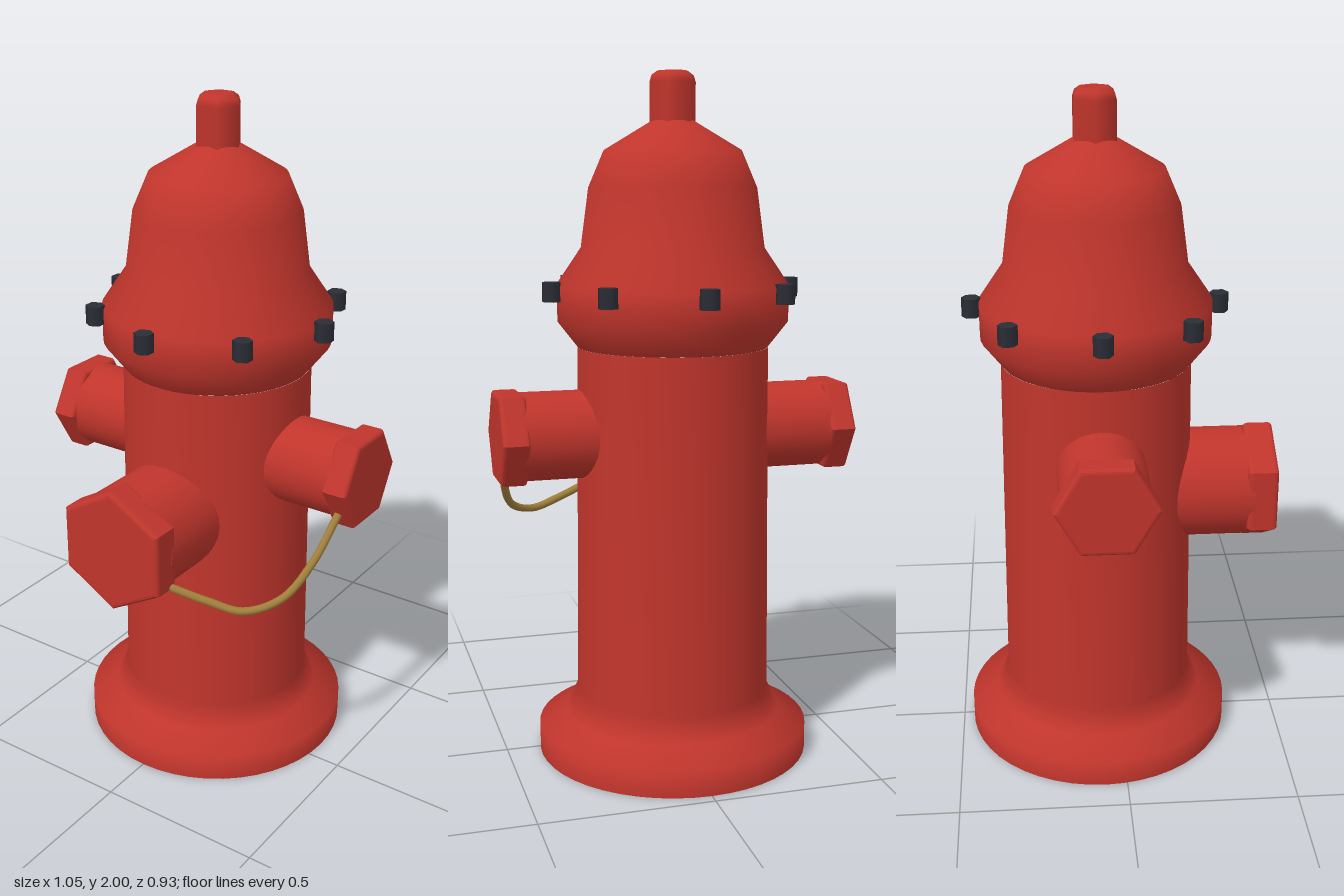
import * as THREE from 'three';

const CZ = -0.065; // body axis in z

export function createModel() {
  const red = new THREE.MeshStandardMaterial({ color: 0xc0352c });
  red.name = 'red paint';
  const dark = new THREE.MeshStandardMaterial({ color: 0x2b2d36 });
  dark.name = 'dark bolt steel';
  const brass = new THREE.MeshStandardMaterial({ color: 0xa07f3c });
  brass.name = 'brass chain';

  const model = new THREE.Group();
  model.name = 'fireHydrant';

  const add = (parent, name, geometry, material) => {
    const mesh = new THREE.Mesh(geometry, material);
    mesh.name = name;
    parent.add(mesh);
    return mesh;
  };
  const lathe = (points, sides) =>
    new THREE.LatheGeometry(points.map(([r, y]) => new THREE.Vector2(r, y)), sides);

  // Barrel with flared foot
  const barrel = add(model, 'barrel', lathe([
    [0.403, 0], [0.403, 0.08], [0.32, 0.12], [0.287, 0.19], [0.278, 1.22],
  ], 48), red);
  barrel.position.z = CZ;

  const bottom = add(model, 'bottom', new THREE.CircleGeometry(0.403, 48), red);
  bottom.rotation.x = Math.PI / 2;
  bottom.position.z = CZ;

  // Flange and domed bonnet
  const bonnet = add(model, 'bonnet', lathe([
    [0.277, 1.22], [0.335, 1.295], [0.336, 1.4], [0.265, 1.505],
    [0.242, 1.675], [0.197, 1.78], [0.06, 1.862], [0, 1.865],
  ], 48), red);
  bonnet.position.z = CZ;

  // Six-sided operating nut
  const nut = add(model, 'topNut', lathe([
    [0.068, 1.82], [0.068, 1.97], [0.062, 1.988], [0.045, 2], [0.045, 2], [0, 2],
  ], 6), red);
  nut.rotation.y = Math.PI / 6;
  nut.position.z = CZ;

  // Ring of eight flange bolts
  const boltGeometry = new THREE.CylinderGeometry(0.028, 0.028, 0.056, 6);
  for (let i = 0; i < 8; i++) {
    const a = (i * Math.PI) / 4;
    const bolt = add(model, 'flangeBolt', boltGeometry, dark);
    bolt.position.set(0.357 * Math.sin(a), 1.384, CZ + 0.357 * Math.cos(a));
  }

  // Outlet: round pipe with a bevelled hexagonal cap, pointing along +z before turning
  const outlet = (name, o) => {
    const group = new THREE.Group();
    group.name = name;
    const start = 0.15;
    const pipe = new THREE.CylinderGeometry(o.pipeRadius, o.pipeRadius, o.pipeEnd - start, 32);
    pipe.rotateX(Math.PI / 2).translate(0, 0, (o.pipeEnd + start) / 2);
    add(group, 'outletPipe', pipe, red);

    const corners = [];
    for (let i = 0; i < 6; i++) {
      const a = o.capTurn + (i * Math.PI) / 3;
      corners.push(new THREE.Vector2(o.capRadius * Math.cos(a), o.capRadius * Math.sin(a)));
    }
    const b = o.bevel;
    const cap = new THREE.ExtrudeGeometry(new THREE.Shape(corners), {
      depth: o.capEnd - o.capStart - 2 * b,
      bevelEnabled: true, bevelThickness: b, bevelSize: b, bevelOffset: -b, bevelSegments: 3,
    });
    cap.translate(0, 0, o.capStart + b);
    add(group, 'outletCap', cap, red);

    group.position.set(0, o.y, CZ);
    group.rotation.y = o.yaw;
    model.add(group);
  };
  const side = {
    y: 0.972, pipeRadius: 0.128, pipeEnd: 0.462,
    capRadius: 0.147, capTurn: 0, capStart: 0.447, capEnd: 0.525, bevel: 0.012,
  };
  outlet('leftOutlet', { ...side, yaw: Math.PI / 2 });
  outlet('rightOutlet', { ...side, yaw: -Math.PI / 2 });
  outlet('frontOutlet', {
    y: 0.811, yaw: 0, pipeRadius: 0.165, pipeEnd: 0.462,
    capRadius: 0.187, capTurn: Math.PI / 2, capStart: 0.44, capEnd: 0.53, bevel: 0.013,
  });

  // Chain hanging from the left cap to the front cap
  const path = new THREE.CatmullRomCurve3([
    [0.482, 0.89, 0.035], [0.468, 0.78, 0.15], [0.43, 0.7, 0.24],
    [0.35, 0.667, 0.315], [0.26, 0.687, 0.355], [0.15, 0.722, 0.4],
  ].map((p) => new THREE.Vector3(...p)));
  add(model, 'capChain', new THREE.TubeGeometry(path, 40, 0.012, 8), brass);

  return model;
}
